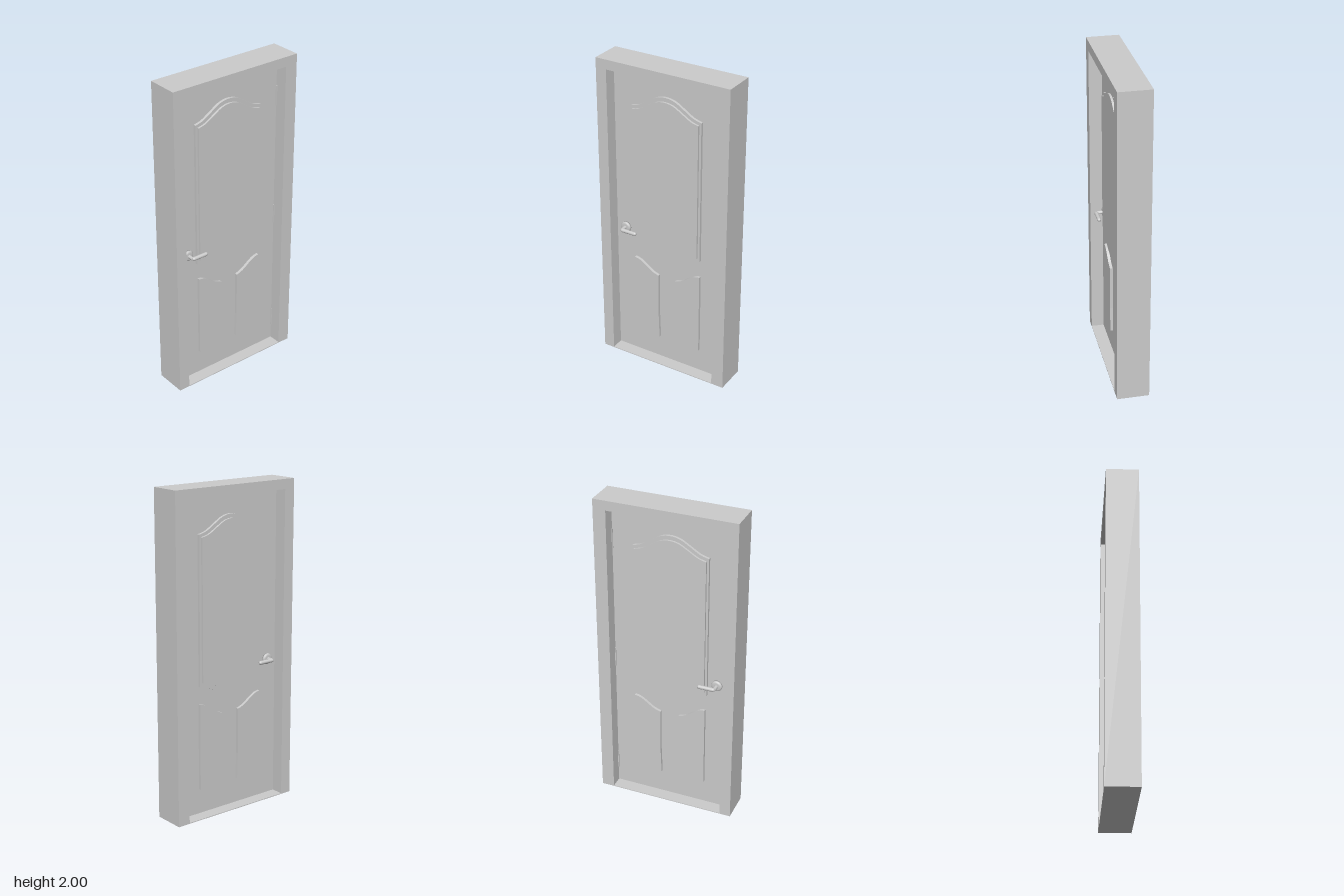
import * as THREE from 'three';

const material = new THREE.MeshStandardMaterial({ color: 0xcccccc });
const FACE = 0.02; // half thickness of the door leaf

function add(parent, name, geometry, x = 0, y = 0, z = 0) {
  const mesh = new THREE.Mesh(geometry, material);
  mesh.name = name;
  mesh.position.set(x, y, z);
  parent.add(mesh);
  return mesh;
}

// Extrude an outline evenly to both sides of z = 0
function slab(shape, half) {
  return new THREE.ExtrudeGeometry(shape, { depth: half * 2, bevelEnabled: false })
    .translate(0, 0, -half);
}

// Smooth run of points through a few control points
function smooth(points, n = 16) {
  return new THREE.SplineCurve(points.map(p => new THREE.Vector2(...p))).getPoints(n);
}

// Tall panel with serpentine top and bottom, symmetric about its middle
function archedPanel(halfWidth, topCorner, topMid, bottomCorner, bottomMid, mid = -0.01) {
  const profile = [[1, 0], [0.77, 0.16], [0.48, 0.58], [0.25, 0.89], [0, 1]];
  const edge = (corner, peak) => {
    const half = profile.map(([u, v]) => [u * halfWidth, corner + v * (peak - corner)]);
    const other = half.slice(0, -1).reverse().map(([x, y]) => [-x, y]);
    return smooth([...half, ...other].map(([x, y]) => [x + mid, y]), 32);
  };
  return new THREE.Shape([...edge(topCorner, topMid), ...edge(bottomCorner, bottomMid).reverse()]);
}

// Lever handle for one face of the door
function makeHandle(name) {
  const g = new THREE.Group();
  g.name = name;
  const rose = [[0, 0], [0.034, 0], [0.034, 0.008], [0.030, 0.014], [0.022, 0.017], [0, 0.017]]
    .map(p => new THREE.Vector2(...p));
  add(g, 'rosette', new THREE.LatheGeometry(rose, 32).rotateX(Math.PI / 2), 0, 0, FACE);
  add(g, 'handleNeck', new THREE.CylinderGeometry(0.011, 0.011, 0.045, 20).rotateX(Math.PI / 2), 0, 0, 0.052);
  add(g, 'lever', new THREE.CapsuleGeometry(0.012, 0.088, 6, 20).rotateZ(Math.PI / 2), 0.05, 0, 0.075);
  return g;
}

export function createModel() {
  const model = new THREE.Group();
  model.name = 'door';

  // Frame with a thin sill
  const outer = new THREE.Shape([[-0.44, 0], [0.44, 0], [0.44, 2], [-0.44, 2]]
    .map(p => new THREE.Vector2(...p)));
  outer.holes.push(new THREE.Path([[-0.37, 0.005], [-0.37, 1.94], [0.36, 1.94], [0.36, 0.005]]
    .map(p => new THREE.Vector2(...p))));
  add(model, 'doorFrame', slab(outer, 0.1));

  // Leaf
  add(model, 'doorLeaf', new THREE.BoxGeometry(0.73, 1.935, FACE * 2), -0.005, 0.9725, 0);

  // Raised upper panel in two steps, showing on both faces
  add(model, 'upperPanelMoulding', slab(archedPanel(0.236, 1.724, 1.823, 0.812, 0.728), 0.037));
  add(model, 'upperPanel', slab(archedPanel(0.223, 1.708, 1.799, 0.838, 0.76), 0.05));

  // Lower pair of raised panels, mirrored about the middle of the leaf
  const slope = smooth([[-0.231, 0.703], [-0.196, 0.695], [-0.16, 0.674], [-0.106, 0.637], [-0.06, 0.62]]);
  const sides = [...slope, ...[[-0.06, 0.33], [-0.054, 0.164], [-0.231, 0.164]]
    .map(p => new THREE.Vector2(...p))];
  for (const [name, s] of [['lowerPanelRight', 1], ['lowerPanelLeft', -1]]) {
    const shape = new THREE.Shape(sides.map(p => new THREE.Vector2(p.x * s, p.y)));
    add(model, name, slab(shape, 0.038), -0.004);
  }

  // Handles on both faces
  const front = makeHandle('frontHandle');
  const back = makeHandle('backHandle');
  back.rotation.x = Math.PI;
  for (const h of [front, back]) {
    h.position.set(-0.305, 0.892, 0);
    model.add(h);
  }

  // Hinges
  for (const y of [0.17, 0.94, 1.735]) {
    add(model, 'hinge', new THREE.BoxGeometry(0.006, 0.125, 0.056), 0.358, y, 0);
  }
  return model;
}
